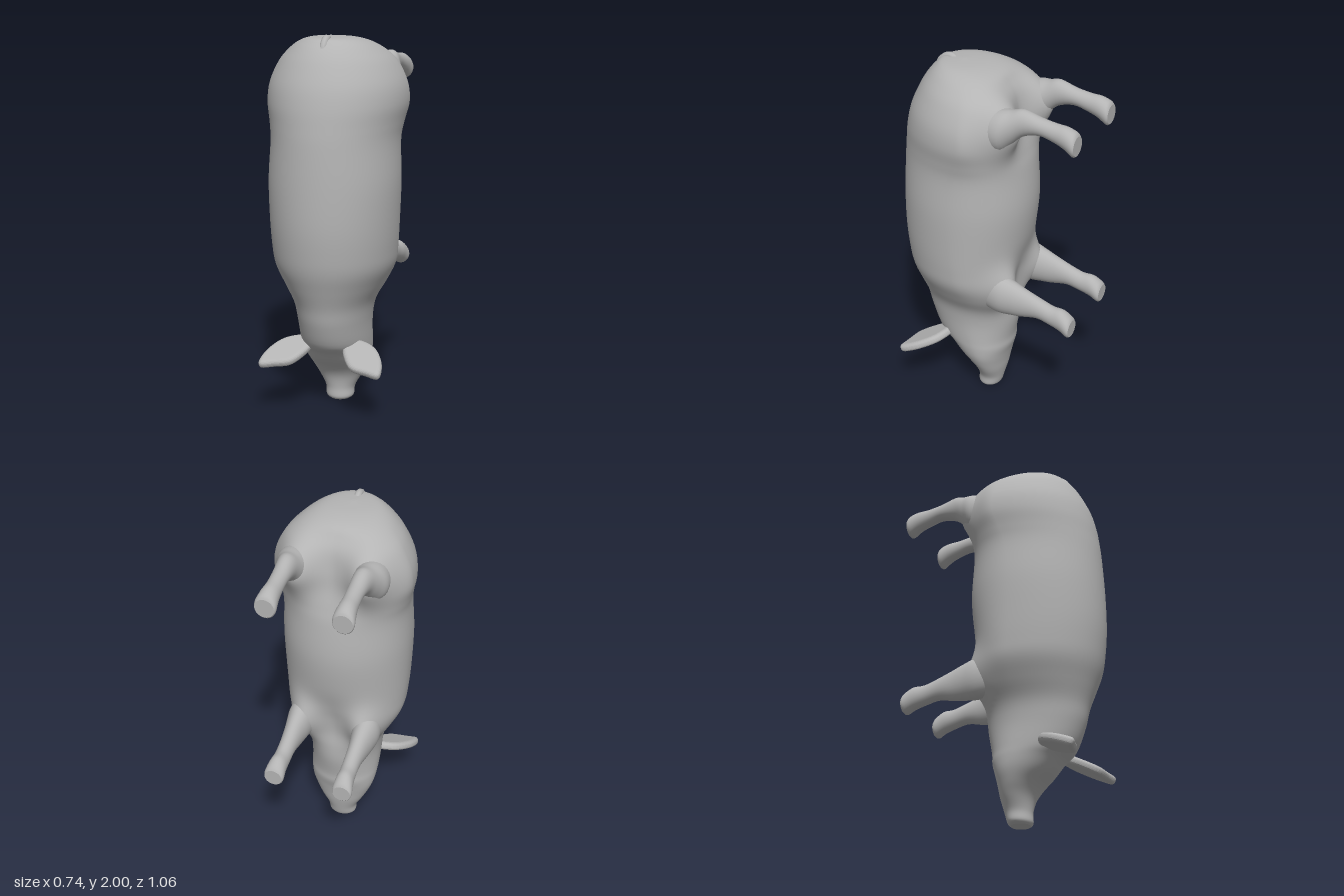
import * as THREE from 'three';

const skin = new THREE.MeshStandardMaterial({ color: 0xb4b4b4 });
skin.name = 'grey skin';

// Catmull-Rom blend between neighbouring station rows
function sampleRows(rows, t) {
  const n = rows.length - 1;
  const i = Math.min(Math.floor(t), n - 1);
  const f = t - i;
  const p = [i - 1, i, i + 1, i + 2].map((k) => rows[Math.max(0, Math.min(n, k))]);
  return rows[0].map((_, c) => {
    const [a, b, d, e] = p.map((r) => r[c]);
    return b + 0.5 * f * (d - a + f * (2 * a - 5 * b + 4 * d - e + f * (3 * (b - d) + e - a)));
  });
}

// Skin closed rings through the stations; flat caps close both ends
function loft(rows, point, sides, steps) {
  const pos = [], idx = [];
  const rings = (rows.length - 1) * steps + 1;
  for (let i = 0; i < rings; i++) {
    const row = sampleRows(rows, i / steps);
    for (let j = 0; j < sides; j++) pos.push(...point(row, (j / sides) * Math.PI * 2));
  }
  for (let i = 0; i < rings - 1; i++) {
    for (let j = 0; j < sides; j++) {
      const k = (j + 1) % sides;
      const a = i * sides + j, b = i * sides + k;
      idx.push(a, b, a + sides, b, b + sides, a + sides);
    }
  }
  for (const end of [0, rings - 1]) {
    const base = pos.length / 3;
    const c = [0, 0, 0];
    for (let j = 0; j < sides; j++) {
      for (let m = 0; m < 3; m++) {
        const v = pos[(end * sides + j) * 3 + m];
        pos.push(v);
        c[m] += v / sides;
      }
    }
    pos.push(...c);
    for (let j = 0; j < sides; j++) {
      const a = base + j, b = base + ((j + 1) % sides);
      if (end) idx.push(base + sides, a, b);
      else idx.push(base + sides, b, a);
    }
  }
  const g = new THREE.BufferGeometry();
  g.setAttribute('position', new THREE.Float32BufferAttribute(pos, 3));
  g.setIndex(idx);
  g.computeVertexNormals();
  return g;
}

function part(name, geometry) {
  const m = new THREE.Mesh(geometry, skin);
  m.name = name;
  return m;
}

// Body and head stations: y, half width, belly z, back z, z of widest point
const bodyRows = [
  [0.00, 0.055, 0.005, 0.108, 0.055],
  [0.018, 0.076, -0.010, 0.120, 0.05],
  [0.07, 0.082, -0.025, 0.118, 0.045],
  [0.14, 0.120, -0.042, 0.132, 0.04],
  [0.20, 0.152, -0.052, 0.170, 0.05],
  [0.26, 0.176, -0.065, 0.235, 0.06],
  [0.32, 0.187, -0.082, 0.290, 0.08],
  [0.38, 0.190, -0.086, 0.360, 0.10],
  [0.50, 0.195, -0.108, 0.410, 0.13],
  [0.60, 0.215, -0.110, 0.435, 0.13],
  [0.70, 0.270, -0.100, 0.470, 0.11],
  [0.80, 0.318, -0.110, 0.503, 0.11],
  [0.90, 0.332, -0.135, 0.520, 0.12],
  [1.05, 0.340, -0.173, 0.532, 0.13],
  [1.25, 0.345, -0.195, 0.530, 0.13],
  [1.45, 0.337, -0.180, 0.520, 0.11],
  [1.55, 0.350, -0.158, 0.510, 0.08],
  [1.65, 0.370, -0.130, 0.495, 0.05],
  [1.75, 0.358, -0.115, 0.468, 0.05],
  [1.85, 0.310, -0.095, 0.422, 0.06],
  [1.91, 0.255, -0.060, 0.385, 0.09],
  [1.955, 0.190, -0.015, 0.345, 0.14],
  [1.98, 0.118, 0.075, 0.305, 0.18],
  [1.988, 0.010, 0.190, 0.210, 0.20],
];

// Hip and shoulder swellings: x, y, width, height, depth
const swellings = [
  [0.20, 1.755, 0.110, 0.150, 0.125],
  [0.185, 0.77, 0.100, 0.140, 0.110],
];
function bodyPoint([y, w, z0, z1, zc], a) {
  const c = Math.cos(a);
  const x = w * Math.sin(a);
  let z = zc + c * (c > 0 ? z1 - zc : zc - z0);
  if (c < 0) {
    for (const [sx, sy, sw, sh, depth] of swellings) {
      const d = ((Math.abs(x) - sx) / sw) ** 2 + ((y - sy) / sh) ** 2;
      z -= depth * Math.exp(-d) * (1 - (1 + c) ** 2);
    }
  }
  return [x, y, z];
}

// Leg stations, foot to root inside the body: z, low y, high y, inner x, outer x
const hindRows = [
  [-0.53, 1.705, 1.805, 0.147, 0.248],
  [-0.515, 1.697, 1.825, 0.14, 0.253],
  [-0.47, 1.725, 1.842, 0.145, 0.245],
  [-0.41, 1.748, 1.846, 0.15, 0.237],
  [-0.33, 1.765, 1.858, 0.15, 0.237],
  [-0.24, 1.740, 1.882, 0.143, 0.248],
  [-0.18, 1.685, 1.868, 0.130, 0.270],
  [-0.12, 1.635, 1.860, 0.112, 0.295],
  [-0.02, 1.650, 1.840, 0.12, 0.28],
];
const frontRows = [
  [-0.53, 0.635, 0.725, 0.142, 0.238],
  [-0.515, 0.627, 0.745, 0.135, 0.243],
  [-0.47, 0.648, 0.773, 0.138, 0.235],
  [-0.41, 0.665, 0.775, 0.14, 0.228],
  [-0.33, 0.680, 0.800, 0.138, 0.228],
  [-0.24, 0.662, 0.833, 0.13, 0.238],
  [-0.18, 0.655, 0.856, 0.12, 0.248],
  [-0.10, 0.650, 0.880, 0.108, 0.258],
  [0.00, 0.670, 0.870, 0.12, 0.24],
];
function leg(name, rows, side) {
  return part(name, loft(rows, ([z, y0, y1, x0, x1], a) => [
    side * (x0 + x1) / 2 + Math.cos(a) * (x1 - x0) / 2,
    (y0 + y1) / 2 + Math.sin(a) * (y1 - y0) / 2,
    z,
  ], 28, 4));
}

// Leaf-shaped ear with thick rounded rim, swept back from the head
function ear(name, side) {
  const pts = [[0.08, -0.01], [0.14, 0.03], [0.245, -0.01], [0.308, -0.10],
    [0.33, -0.19], [0.315, -0.23], [0.25, -0.215], [0.16, -0.185], [0.10, -0.09]];
  const outline = new THREE.SplineCurve(
    [...pts, pts[0]].map(([x, v]) => new THREE.Vector2(x * side, v))).getPoints(48).slice(0, -1);
  const g = new THREE.ExtrudeGeometry(new THREE.Shape(outline), {
    depth: 0.008, bevelEnabled: true, bevelThickness: 0.02, bevelSize: 0.024, bevelOffset: -0.024, bevelSegments: 5,
  });
  g.translate(0, 0, -0.004);
  const m = part(name, g);
  m.rotation.x = -1.16;
  m.position.set(0, 0.375, 0.25);
  return m;
}

export function createModel() {
  const group = new THREE.Group();
  group.name = 'pig';
  group.add(part('bodyAndHead', loft(bodyRows, bodyPoint, 96, 5)));
  for (const [label, side] of [['left', 1], ['right', -1]]) {
    group.add(leg(label + 'HindLeg', hindRows, side));
    group.add(leg(label + 'FrontLeg', frontRows, side));
    group.add(ear(label + 'Ear', side));
  }
  // Short tail lying along the rump
  const tailPath = new THREE.CatmullRomCurve3([
    [0, 1.955, 0.235], [0, 1.98, 0.28], [0, 1.965, 0.32], [0, 1.93, 0.345], [0, 1.89, 0.345],
  ].map((p) => new THREE.Vector3(...p)));
  group.add(part('tail', new THREE.TubeGeometry(tailPath, 24, 0.02, 10)));
  return group;
}
